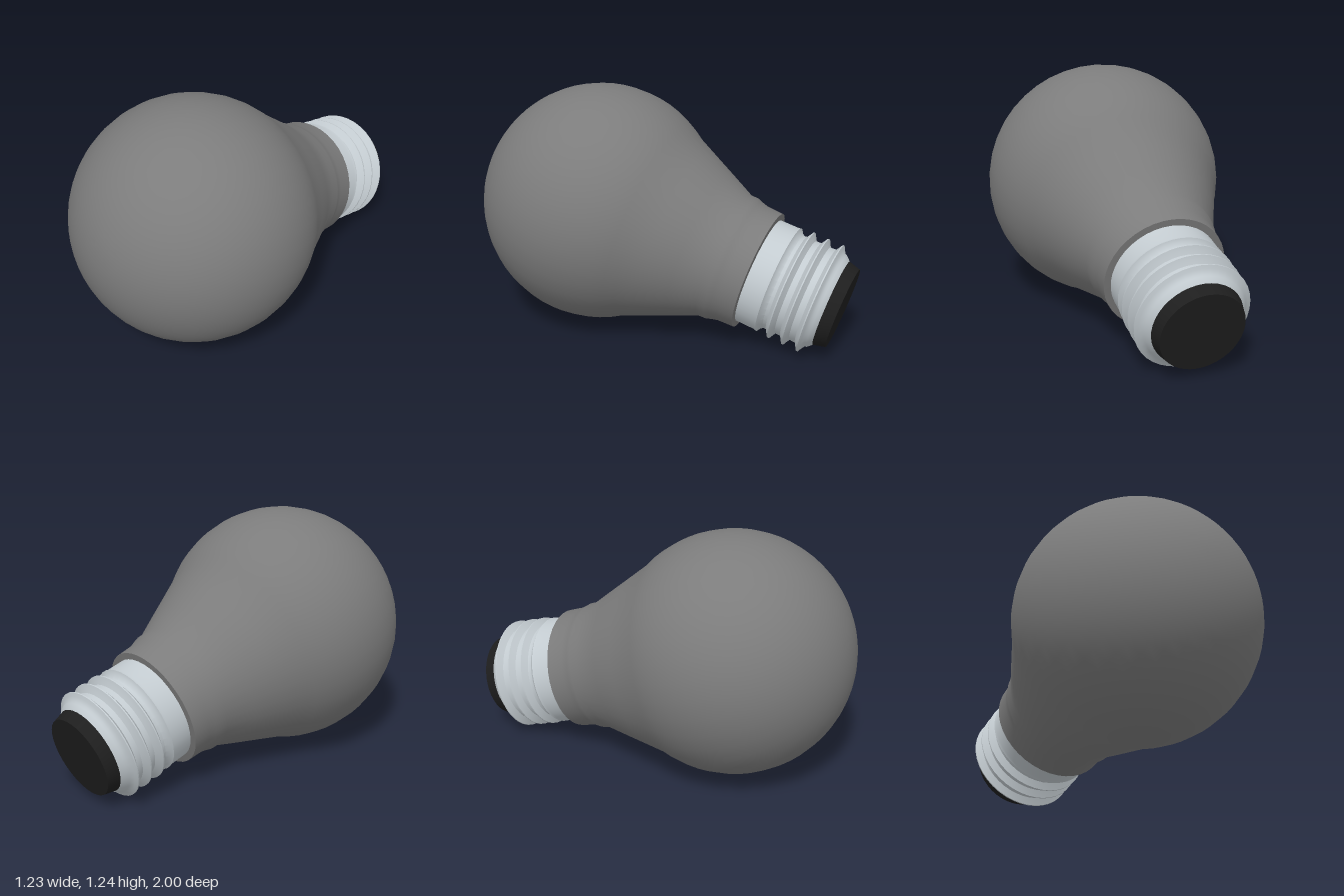
import * as THREE from 'three';
import { toCreasedNormals } from 'three/addons/utils/BufferGeometryUtils.js';

const SIDES = 40;

function material(name, color) {
  const m = new THREE.MeshStandardMaterial({ color });
  m.name = name;
  return m;
}

// Turned part from [radius, distance along the axis] pairs
function turned(name, profile, mat, crease) {
  const points = profile.map(([r, s]) => new THREE.Vector2(r, s));
  const geometry = toCreasedNormals(new THREE.LatheGeometry(points, SIDES), crease);
  const mesh = new THREE.Mesh(geometry, mat);
  mesh.name = name;
  return mesh;
}

export function createModel() {
  const glass = material('grey glass', 0x7c7c7c);
  const metal = material('light metal', 0xc3cbd0);
  const black = material('black insulator', 0x1e1e1e);

  // Round globe, running into the tapered neck and its collar
  const R = 0.617, STEPS = 22, END = 2.18;
  const globe = [];
  for (let i = 0; i <= STEPS; i++) {
    const a = (i / STEPS) * END;
    globe.push([i ? R * Math.sin(a) : 0, -R * Math.cos(a)]);
  }
  globe.push([0.457, 0.46], [0.398, 0.59], [0.337, 0.722], [0.335, 0.765],
    [0.326, 0.79], [0.317, 0.825], [0.313, 0.913], [0.27, 0.916]);

  // Screw sleeve with raised thread rings
  const sleeve = [[0.279, 0.9], [0.28, 1.015], [0.284, 1.028], [0.268, 1.036], [0.254, 1.055]];
  for (const s of [1.097, 1.175, 1.255]) {
    sleeve.push([0.256, s - 0.024], [0.275, s - 0.012], [0.29, s - 0.003],
      [0.29, s + 0.003], [0.274, s + 0.011], [0.254, s + 0.024]);
  }
  sleeve.push([0.25, 1.29], [0.228, 1.314]);

  // Black end plug
  const plug = [[0.228, 1.313], [0.211, 1.376], [0, 1.376]];

  const bulb = new THREE.Group();
  bulb.name = 'bulb';
  bulb.add(
    turned('globe', globe, glass, 0.6),
    turned('screwSleeve', sleeve, metal, 0.75),
    turned('endPlug', plug, black, 0.6)
  );

  // Lay the bulb down, resting on globe and thread
  bulb.rotation.x = -THREE.MathUtils.degToRad(106);
  bulb.position.set(0, 0.632, 0.381);

  const model = new THREE.Group();
  model.name = 'lightBulb';
  model.add(bulb);
  return model;
}
